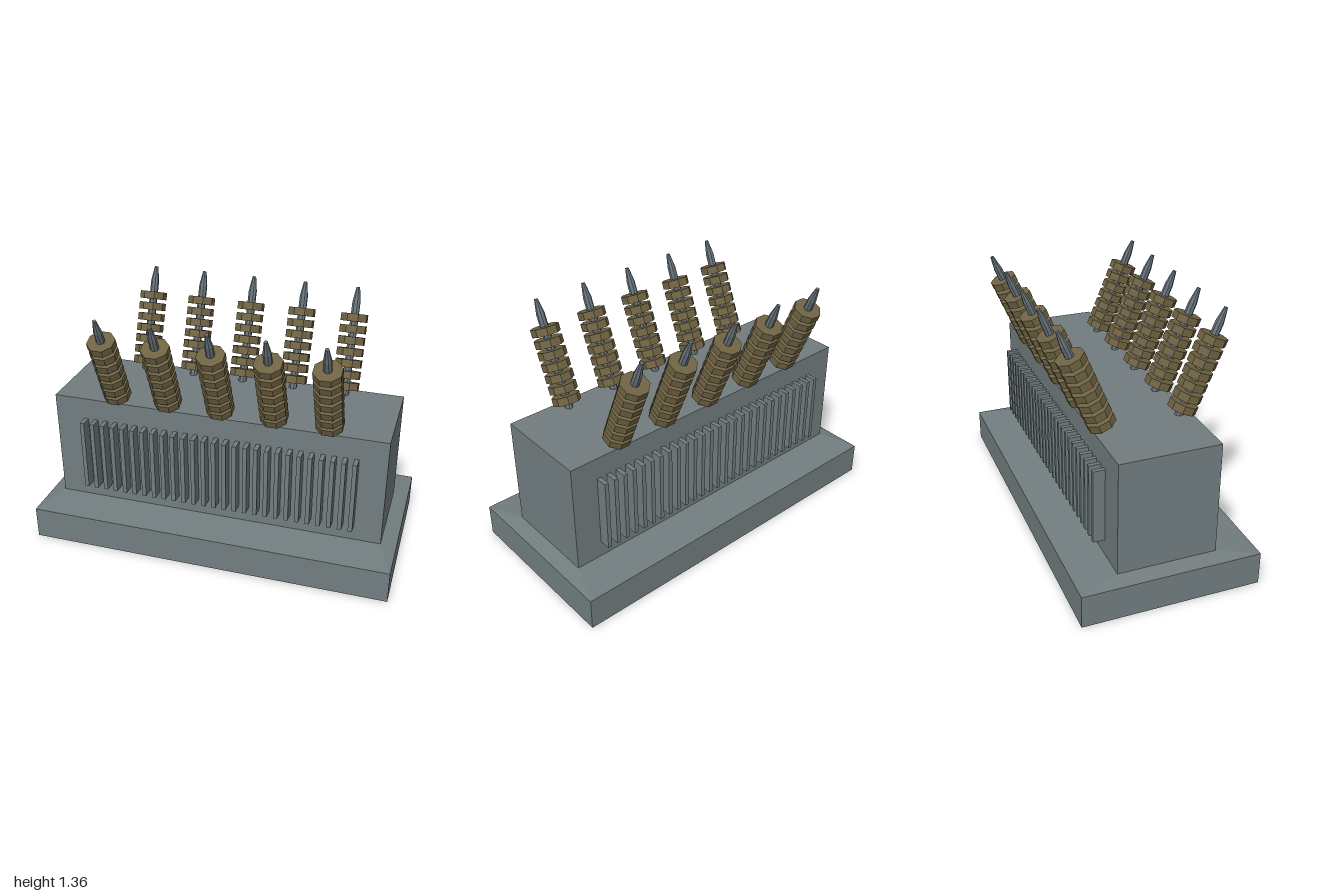
import * as THREE from 'three';

const steel = new THREE.MeshStandardMaterial({ name: 'grey steel', color: 0x727d7f, flatShading: true });
const ceramic = new THREE.MeshStandardMaterial({ name: 'brown ceramic', color: 0x6f6343, flatShading: true });
const metal = new THREE.MeshStandardMaterial({ name: 'rod metal', color: 0x67747b, flatShading: true });

function add(parent, name, geometry, material, x = 0, y = 0, z = 0) {
  const mesh = new THREE.Mesh(geometry, material);
  mesh.name = name;
  mesh.position.set(x, y, z);
  parent.add(mesh);
  return mesh;
}

// Octagonal prism or cone with flats facing the axes, given by its apothems
function octagon(top, bottom, height) {
  const k = 1 / Math.cos(Math.PI / 8);
  return new THREE.CylinderGeometry(top * k, bottom * k, height, 8).rotateY(Math.PI / 8);
}

// Insulated terminal: rod, pointed tip and seven discs along local y
function createBushing(name) {
  const bushing = new THREE.Group();
  bushing.name = name;
  add(bushing, 'rod', octagon(0.021, 0.021, 0.56), metal, 0, 0.18, 0);
  add(bushing, 'rodTip', octagon(0.009, 0.021, 0.08), metal, 0, 0.5, 0);
  const disc = octagon(0.07, 0.07, 0.042);
  for (let i = 0; i < 7; i++) add(bushing, 'insulatorDisc', disc, ceramic, 0, i * 0.0623, 0);
  return bushing;
}

export function createModel() {
  const model = new THREE.Group();
  model.name = 'transformer';

  // Plinth with a shallow sloping top
  add(model, 'plinth', new THREE.BoxGeometry(2, 0.18, 0.96), steel, 0, 0.09, 0);
  const slope = new THREE.BoxGeometry(2, 0.02, 0.96);
  const p = slope.attributes.position;
  for (let i = 0; i < p.count; i++) {
    if (p.getY(i) > 0) {
      p.setX(i, Math.sign(p.getX(i)) * 0.918);
      p.setZ(i, Math.sign(p.getZ(i)) * 0.266);
    }
  }
  slope.computeVertexNormals();
  add(model, 'plinthSlope', slope, steel, 0, 0.19, 0);

  // Tank
  add(model, 'tank', new THREE.BoxGeometry(1.836, 0.62, 0.532), steel, 0, 0.505, 0);

  const fin = new THREE.BoxGeometry(0.023, 0.405, 0.08);
  for (const side of [1, -1]) {
    // Cooling fins
    for (let i = 0; i < 27; i++) {
      add(model, 'coolingFin', fin, steel, -0.742 + i * 0.0577, 0.4925, side * 0.289);
    }
    // Row of terminals leaning outwards
    for (let i = 0; i < 5; i++) {
      const bushing = createBushing(side > 0 ? 'frontBushing' : 'backBushing');
      bushing.position.set(-0.569 + i * 0.2925, 0.858, side * 0.221);
      bushing.rotation.x = side * THREE.MathUtils.degToRad(22.7);
      model.add(bushing);
    }
  }
  return model;
}
